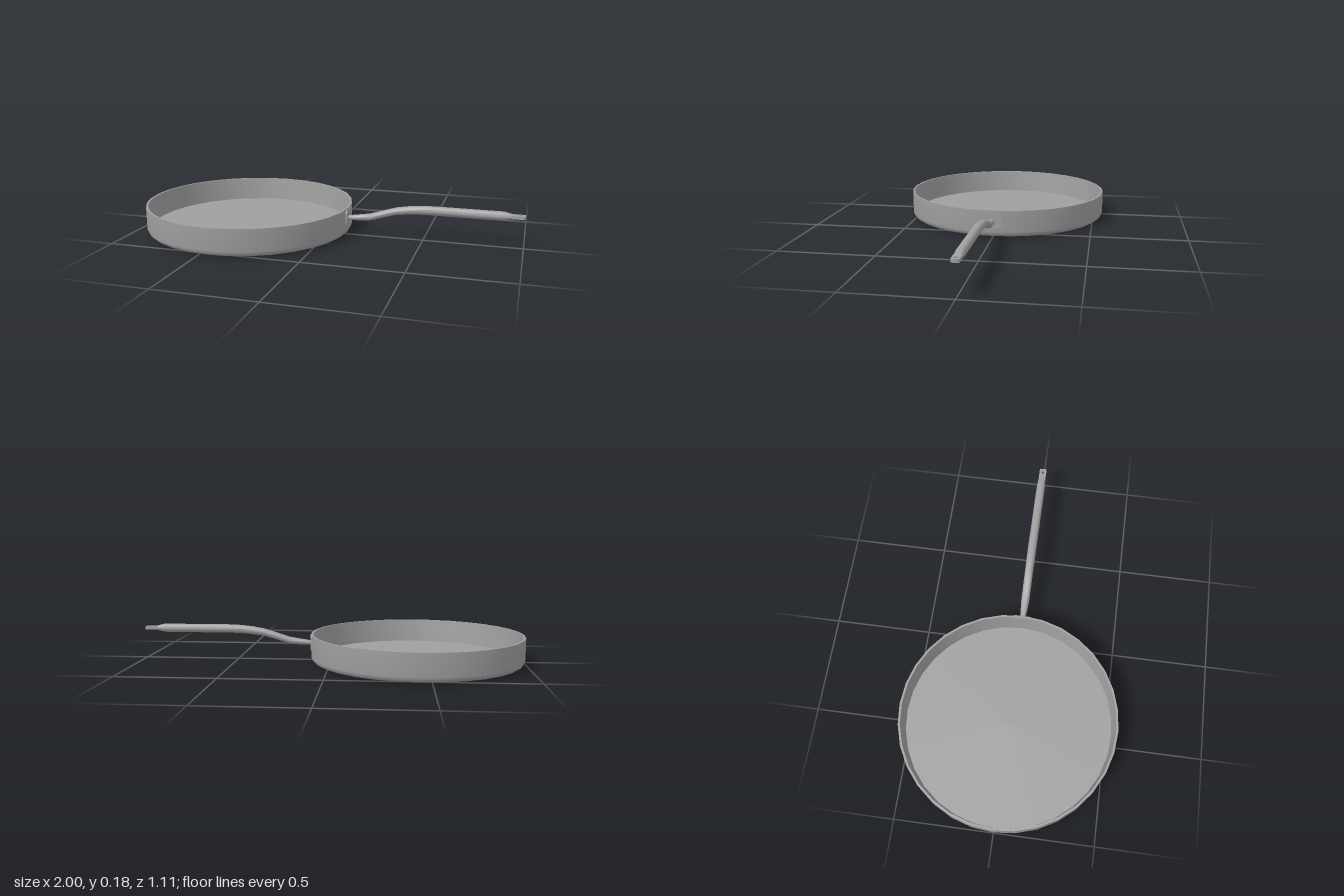
import * as THREE from 'three';
import { toCreasedNormals } from 'three/addons/utils/BufferGeometryUtils.js';

const PAN_X = -0.447, PAN_R = 0.553;

function addMesh(group, name, geometry, material) {
  const mesh = new THREE.Mesh(geometry, material);
  mesh.name = name;
  group.add(mesh);
  return mesh;
}

// Shallow round body: grooved base disc, rounded lower edge, wall, rim and inner floor
function panGeometry() {
  const pts = [[0, 0]];
  for (const r of [0.255, 0.325]) {
    pts.push([r - 0.002, 0], [r - 0.001, 0.002], [r + 0.001, 0.002], [r + 0.002, 0]);
  }
  pts.push([0.425, 0], [0.426, 0.003]);
  const fillet = 0.028;
  for (let i = 0; i <= 4; i++) {
    const a = (i / 4) * Math.PI / 2;
    pts.push([PAN_R - fillet + fillet * Math.sin(a), 0.003 + fillet * (1 - Math.cos(a))]);
  }
  pts.push([PAN_R, 0.145], [0.542, 0.145], [0.531, 0.02], [0, 0.02]);
  const lathe = new THREE.LatheGeometry(pts.map(([x, y]) => new THREE.Vector2(x, y)), 32);
  return toCreasedNormals(lathe, 0.6);
}

// Elliptical cross-sections [x, y, half height, half width] joined into a closed bar
function handleGeometry(rings, sides = 16) {
  const pos = [], index = [];
  for (const [x, y, ry, rz] of rings) {
    for (let j = 0; j < sides; j++) {
      const a = (j / sides) * Math.PI * 2;
      pos.push(x, y + ry * Math.cos(a), rz * Math.sin(a));
    }
  }
  for (let i = 0; i < rings.length - 1; i++) {
    for (let j = 0; j < sides; j++) {
      const a = i * sides + j, b = i * sides + (j + 1) % sides;
      index.push(a, b, a + sides, b, b + sides, a + sides);
    }
  }
  const last = (rings.length - 1) * sides;
  for (let j = 1; j < sides - 1; j++) {
    index.push(0, j + 1, j, last, last + j, last + j + 1);
  }
  const geo = new THREE.BufferGeometry();
  geo.setAttribute('position', new THREE.Float32BufferAttribute(pos, 3));
  geo.setIndex(index);
  return toCreasedNormals(geo, 0.7);
}

function roundedRect(w, h, r) {
  const s = new THREE.Shape(), x = w / 2, y = h / 2;
  s.moveTo(-x + r, -y).lineTo(x - r, -y).quadraticCurveTo(x, -y, x, -y + r);
  s.lineTo(x, y - r).quadraticCurveTo(x, y, x - r, y);
  s.lineTo(-x + r, y).quadraticCurveTo(-x, y, -x, y - r);
  s.lineTo(-x, -y + r).quadraticCurveTo(-x, -y, -x + r, -y);
  return s;
}

export function createModel() {
  const model = new THREE.Group();
  model.name = 'fryingPan';
  const metal = new THREE.MeshStandardMaterial({ color: 0x9f9f9f });

  addMesh(model, 'pan', panGeometry(), metal).position.x = PAN_X;

  // Mounting plate with a small rivet at each corner
  const mount = new THREE.Group();
  mount.name = 'handleMount';
  mount.position.set(0.09, 0.095, 0);
  model.add(mount);
  const plate = new THREE.ExtrudeGeometry(roundedRect(0.092, 0.084, 0.014),
    { depth: 0.018, bevelEnabled: false, curveSegments: 4 });
  plate.rotateY(Math.PI / 2);
  addMesh(mount, 'mountPlate', toCreasedNormals(plate, 0.6), metal);
  for (const y of [-0.028, 0.028]) {
    for (const z of [-0.03, 0.03]) {
      const rivet = addMesh(mount, 'rivet', new THREE.CylinderGeometry(0.003, 0.004, 0.003, 10), metal);
      rivet.rotation.z = -Math.PI / 2;
      rivet.position.set(0.0185, y, z);
    }
  }

  // Curved neck running into the straight grip, flattened at the hanging end
  addMesh(model, 'handle', handleGeometry([
    [0.095, 0.091, 0.012, 0.012], [0.12, 0.092, 0.013, 0.014], [0.16, 0.095, 0.016, 0.018],
    [0.22, 0.102, 0.0185, 0.022], [0.26, 0.114, 0.019, 0.022], [0.32, 0.133, 0.0195, 0.022],
    [0.36, 0.144, 0.02, 0.022], [0.42, 0.153, 0.0215, 0.0225], [0.48, 0.159, 0.022, 0.023],
    [0.55, 0.161, 0.0225, 0.023], [0.715, 0.161, 0.0225, 0.023], [0.89, 0.161, 0.0225, 0.023],
    [0.905, 0.161, 0.021, 0.022], [0.93, 0.161, 0.014, 0.02], [0.96, 0.161, 0.007, 0.017],
  ]), metal);

  // Flat end tab with a hanging hole
  const tab = roundedRect(0.07, 0.038, 0.006);
  tab.holes.push(new THREE.Path().absarc(0.013, 0, 0.009, 0, Math.PI * 2, true));
  const tabGeo = new THREE.ExtrudeGeometry(tab, { depth: 0.016, bevelEnabled: false, curveSegments: 8 });
  tabGeo.rotateX(-Math.PI / 2);
  addMesh(model, 'hangingTab', toCreasedNormals(tabGeo, 0.8), metal).position.set(0.965, 0.153, 0);

  return model;
}
